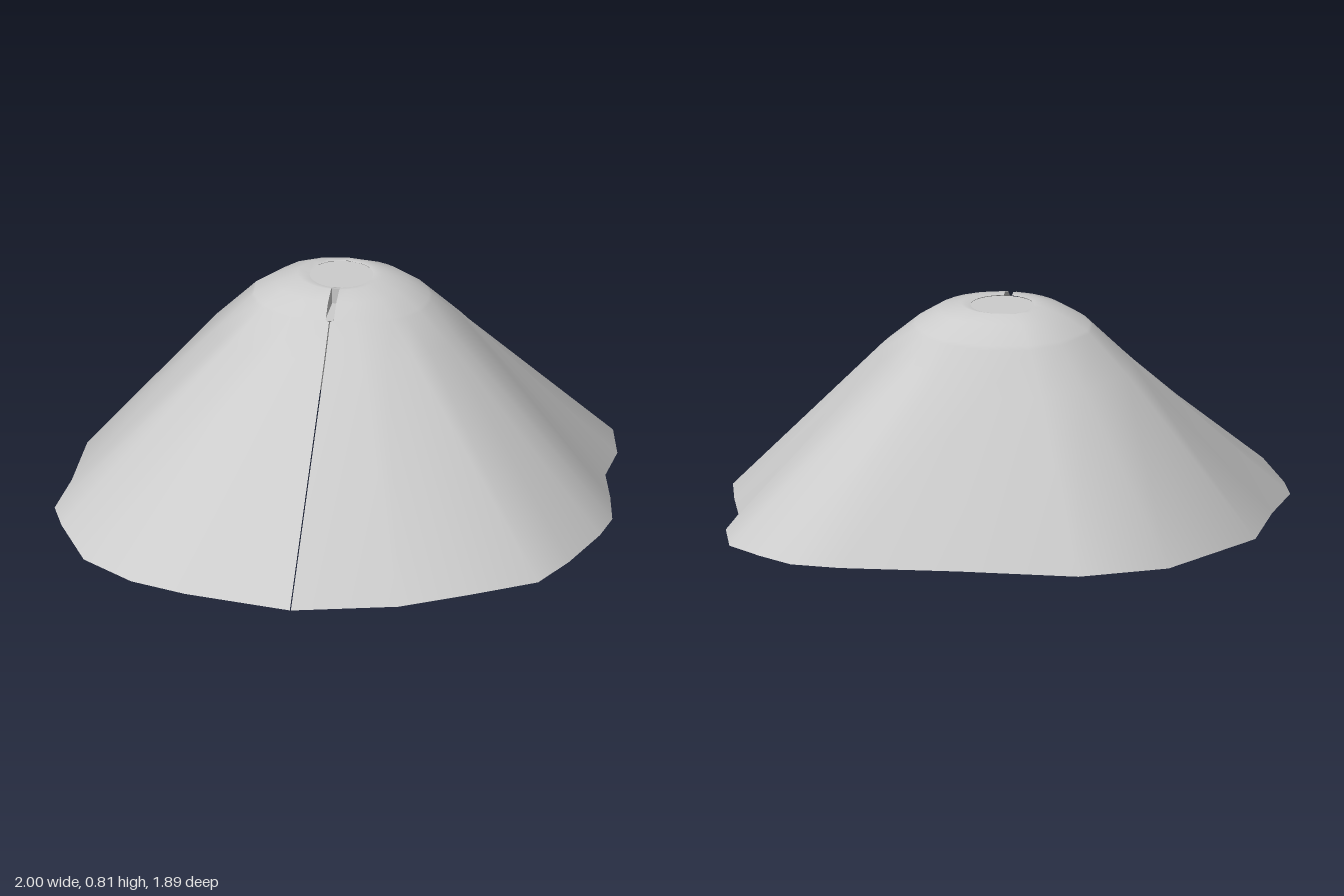
import * as THREE from 'three';

const CX = -0.03, CZ = -0.22; // centre of the summit

// Foot outline [x, z], starting at the front and going round by the model's left
const FOOT = [
  [-0.01, 0.94], [0.37, 0.84], [0.6, 0.7], [0.83, 0.55], [0.91, 0.36], [0.98, 0.12], [1, -0.02],
  [0.96, -0.2], [0.91, -0.38], [0.92, -0.57], [0.87, -0.76], [0.74, -0.86], [0.61, -0.94],
  [0.43, -0.95], [0, -0.91], [-0.44, -0.89], [-0.74, -0.73], [-0.98, -0.32], [-0.98, 0],
  [-1, 0.24], [-0.95, 0.38], [-0.82, 0.65], [-0.62, 0.8], [-0.41, 0.87],
];

// Rings from the summit down: radius and height toward left, right, front, back;
// gap is half the width of the front opening
const RINGS = [
  { r: [0.115, 0.115, 0.115, 0.115], y: [0.8, 0.8, 0.8, 0.8], gap: 0.015 },
  { r: [0.15, 0.16, 0.14, 0.13], y: [0.805, 0.805, 0.805, 0.805], gap: 0.015 },
  { r: [0.24, 0.24, 0.21, 0.18], y: [0.78, 0.775, 0.785, 0.78], gap: 0.015 },
  { r: [0.32, 0.32, 0.265, 0.25], y: [0.73, 0.73, 0.74, 0.72], gap: 0.015 },
  { r: [0.33, 0.33, 0.27, 0.26], y: [0.722, 0.72, 0.735, 0.705], gap: 0.002 },
  { r: [0.45, 0.47, 0.38, 0.36], y: [0.62, 0.58, 0.63, 0.55], gap: 0.002 },
];

// Blend the four directional values for a unit direction
const blend = (v, dx, dz) => dx * dx * v[dx > 0 ? 0 : 1] + dz * dz * v[dz > 0 ? 2 : 3];

function slopeGeometry() {
  const columns = [...FOOT, FOOT[0]];
  const last = columns.length - 1, n = columns.length;
  const pos = [], index = [];
  for (const ring of RINGS) {
    columns.forEach(([fx, fz], i) => {
      const d = Math.hypot(fx - CX, fz - CZ);
      const dx = (fx - CX) / d, dz = (fz - CZ) / d;
      const r = blend(ring.r, dx, dz);
      // The first and last columns are the two lips of the front opening
      const shift = i === 0 ? ring.gap : i === last ? -ring.gap : 0;
      pos.push(CX + dx * r + shift, blend(ring.y, dx, dz), CZ + dz * r);
    });
  }
  columns.forEach(([x, z], i) => pos.push(x + (i === 0 ? 0.002 : i === last ? -0.002 : 0), 0, z));
  for (let j = 0; j < RINGS.length; j++) {
    for (let i = 0; i < last; i++) {
      const a = j * n + i, b = a + n;
      index.push(a, b, a + 1, a + 1, b, b + 1);
    }
  }
  const g = new THREE.BufferGeometry();
  g.setAttribute('position', new THREE.Float32BufferAttribute(pos, 3));
  g.setIndex(index);
  g.computeVertexNormals();
  return g;
}

export function createModel() {
  const group = new THREE.Group();
  group.name = 'hollowMound';
  const add = (name, geometry, side) => {
    const mesh = new THREE.Mesh(geometry, new THREE.MeshStandardMaterial({ color: 0xcccccc, side }));
    mesh.name = name;
    group.add(mesh);
    return mesh;
  };

  // Open-bottomed shell with a slit down the front
  add('slope', slopeGeometry(), THREE.DoubleSide);

  // Disc closing the summit
  const cap = add('summitCap', new THREE.CircleGeometry(0.117, 32), THREE.FrontSide);
  cap.rotation.x = -Math.PI / 2;
  cap.position.set(CX, 0.797, CZ);

  // Channel below the notch: inside faces only, top sloping down to the front
  const channel = new THREE.BoxGeometry(0.03, 0.065, 0.15);
  channel.translate(CX + 0.001, 0.7675, -0.033);
  const p = channel.attributes.position;
  for (let i = 0; i < p.count; i++) {
    if (p.getY(i) > 0.76 && p.getZ(i) > 0) p.setY(i, 0.74);
  }
  channel.computeVertexNormals();
  add('notchChannel', channel, THREE.BackSide);

  return group;
}
